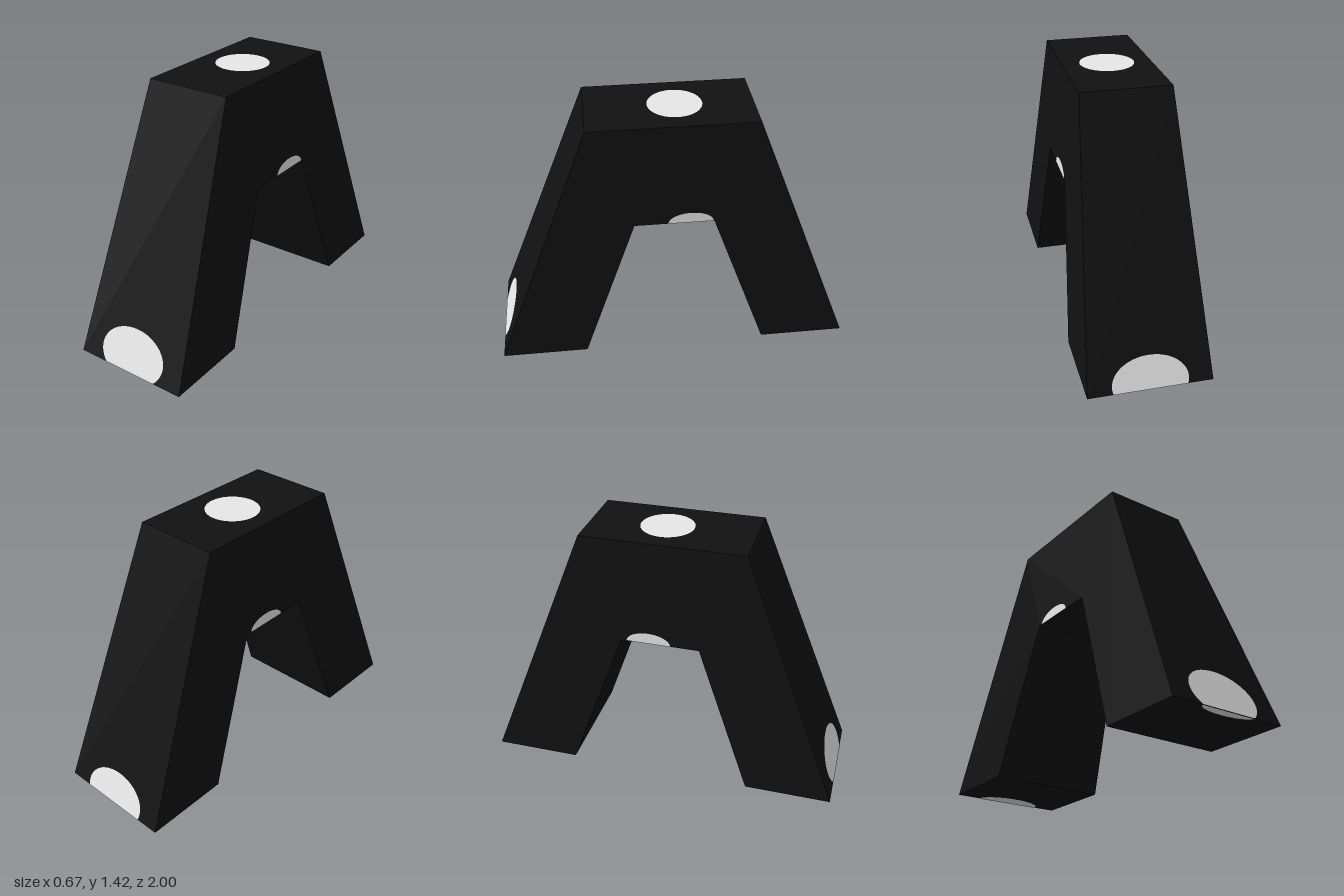
import * as THREE from 'three';

const HEIGHT = 1.416, ARCH = 0.84;
const halfWidth = (y) => 0.333 - 0.0657 * y; // sides lean inwards
const LEAN = 0.388;                          // front and back slope, dz per dy

export function createModel() {
  const black = new THREE.MeshStandardMaterial({ color: 0x111111 });
  black.name = 'black';
  const white = new THREE.MeshStandardMaterial({ color: 0xf2f2f2 });
  white.name = 'white';
  const model = new THREE.Group();
  model.name = 'archBlock';

  // A-shaped body: side profile extruded across x, then tapered upwards
  const profile = new THREE.Shape([
    [-1, 0], [-0.517, 0], [-0.217, ARCH], [0.217, ARCH],
    [0.517, 0], [1, 0], [0.45, HEIGHT], [-0.45, HEIGHT],
  ].map(([s, y]) => new THREE.Vector2(s, y)));
  const geometry = new THREE.ExtrudeGeometry(profile, { depth: 2, bevelEnabled: false });
  geometry.translate(0, 0, -1).rotateY(Math.PI / 2);
  const pos = geometry.attributes.position;
  for (let i = 0; i < pos.count; i++) pos.setX(i, pos.getX(i) * halfWidth(pos.getY(i)));
  geometry.computeVertexNormals();
  const body = new THREE.Mesh(geometry, black);
  body.name = 'body';
  model.add(body);

  // Oval spot on a face: u runs along the face edge, v away from it.
  // The oval's centre lies cv from the edge and is cut off where it crosses it.
  function addSpot(name, origin, u, v, ru, rv, cv) {
    const start = -Math.asin(Math.min(cv / rv, 1));
    const points = [];
    for (let i = 0; i <= 40; i++) {
      const a = start + (Math.PI - 2 * start) * i / 40;
      points.push(new THREE.Vector2(ru * Math.cos(a), cv + rv * Math.sin(a)));
    }
    const U = new THREE.Vector3(...u), V = new THREE.Vector3(...v).normalize();
    const N = U.clone().cross(V);
    const spot = new THREE.Mesh(new THREE.ShapeGeometry(new THREE.Shape(points)), white);
    spot.quaternion.setFromRotationMatrix(new THREE.Matrix4().makeBasis(U, V, N));
    spot.position.set(...origin).addScaledVector(N, 0.002);
    spot.name = name;
    model.add(spot);
  }

  const w = halfWidth(ARCH);
  addSpot('topSpot', [0, HEIGHT, 0.117], [1, 0, 0], [0, 0, -1], 0.147, 0.147, 0.147);
  addSpot('frontSpot', [0, 0, 1], [1, 0, 0], [0, 1, -LEAN], 0.205, 0.148, 0.093);
  addSpot('backSpot', [0, 0, -1], [-1, 0, 0], [0, 1, LEAN], 0.203, 0.144, 0.035);
  addSpot('frontFootSpot', [0, 0, 1], [-1, 0, 0], [0, 0, -1], 0.16, 0.055, 0);
  addSpot('backFootSpot', [0, 0, -1], [1, 0, 0], [0, 0, 1], 0.2, 0.11, 0);
  addSpot('leftArchSpot', [w, ARCH, -0.09], [0, 0, -1], [-0.0657, 1, 0], 0.123, 0.06, 0);
  addSpot('rightArchSpot', [-w, ARCH, -0.065], [0, 0, 1], [0.0657, 1, 0], 0.123, 0.06, 0);

  return model;
}
